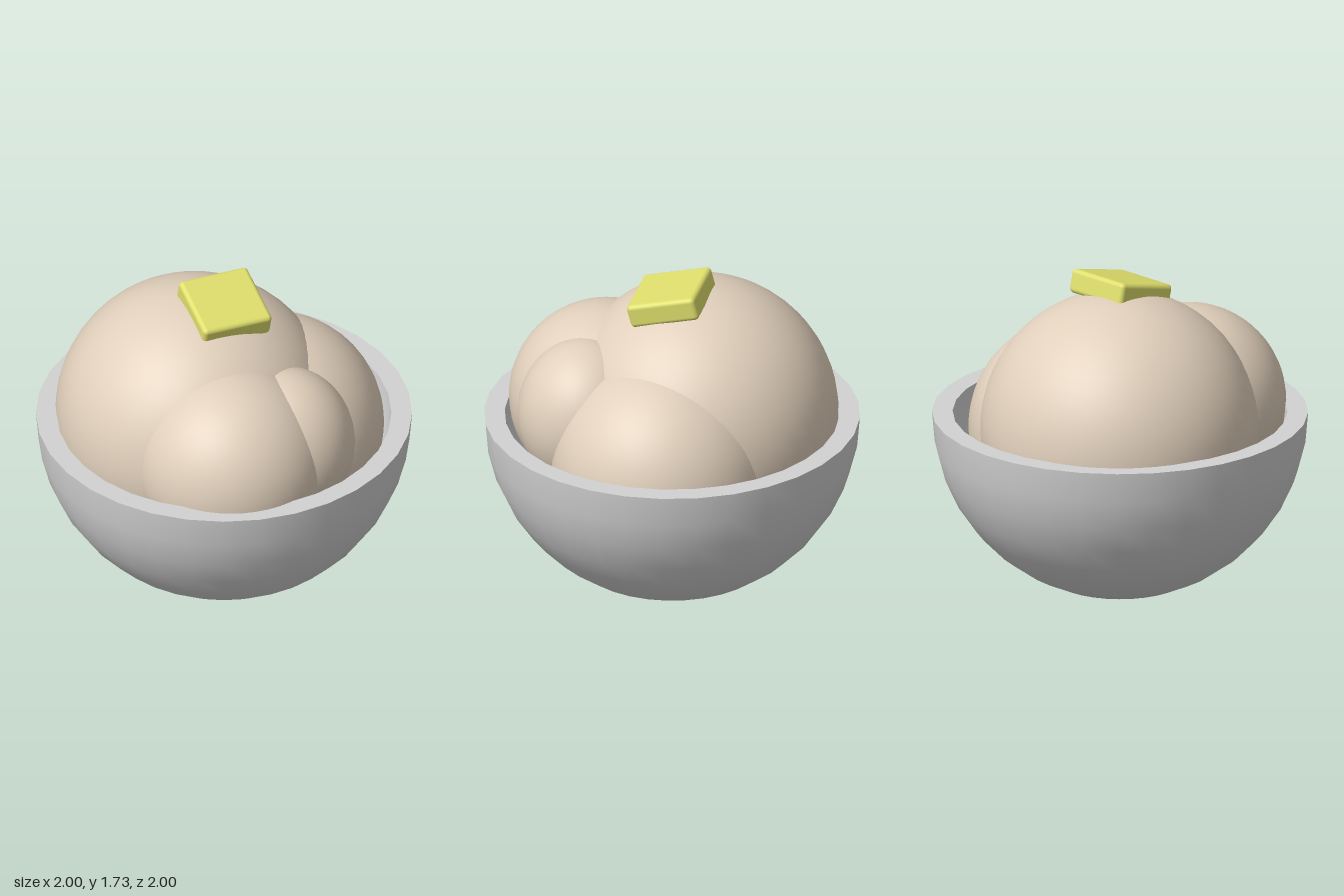
import * as THREE from 'three';
import { RoundedBoxGeometry } from 'three/addons/geometries/RoundedBoxGeometry.js';

const RIM_Y = 0.93, OUTER = 1, INNER = 0.89, SIDES = 32;

function material(name, color) {
  const m = new THREE.MeshStandardMaterial({ color });
  m.name = name;
  return m;
}

// Profile of a round bowl wall, from its lowest ring up to the rim
function wallProfile(radius, floorY, steps) {
  const start = Math.asin((RIM_Y - floorY) / radius);
  const points = [new THREE.Vector2(0, floorY)];
  for (let i = 0; i <= steps; i++) {
    const a = start * (1 - i / steps);
    points.push(new THREE.Vector2(radius * Math.cos(a), RIM_Y - radius * Math.sin(a)));
  }
  return points;
}

export function createModel() {
  const model = new THREE.Group();
  model.name = 'bowlOfScoops';
  const grey = material('bowl grey', 0xd2d2d2);
  const cream = material('scoop cream', 0xe0cfbb);
  const yellow = material('butter yellow', 0xdede6c);

  const add = (parent, name, geometry, mat) => {
    const mesh = new THREE.Mesh(geometry, mat);
    mesh.name = name;
    parent.add(mesh);
    return mesh;
  };

  // Bowl: separate outside, rim and inside keep the rim edges sharp
  const bowl = new THREE.Group();
  bowl.name = 'bowl';
  model.add(bowl);
  const rim = [new THREE.Vector2(OUTER, RIM_Y), new THREE.Vector2(INNER, RIM_Y)];
  add(bowl, 'bowlOutside', new THREE.LatheGeometry(wallProfile(OUTER, 0, 7), SIDES), grey);
  add(bowl, 'bowlRim', new THREE.LatheGeometry(rim, SIDES), grey);
  add(bowl, 'bowlInside', new THREE.LatheGeometry(wallProfile(INNER, 0.06, 8).reverse(), SIDES), grey);

  // Overlapping scoops: name, centre, radius, height stretch
  const scoops = new THREE.Group();
  scoops.name = 'scoops';
  model.add(scoops);
  for (const [name, x, y, z, r, stretch] of [
    ['largeScoop', -0.12, 0.9, -0.12, 0.74, 1],
    ['frontScoop', -0.12, 0.93, 0.39, 0.52, 1],
    ['leftScoop', 0.29, 0.78, -0.02, 0.59, 1],
    ['smallScoop', 0.18, 0.97, 0.42, 0.37, 1.13],
  ]) {
    const scoop = add(scoops, name, new THREE.SphereGeometry(r, 48, 32), cream);
    scoop.position.set(x, y, z);
    scoop.scale.y = stretch;
  }

  // Butter pat tilted forward on top
  const butter = add(model, 'butterPat', new RoundedBoxGeometry(0.395, 0.13, 0.385, 3, 0.025), yellow);
  butter.position.set(0, 1.622, 0.005);
  butter.rotation.set(0.255, 0, -0.02);

  return model;
}
